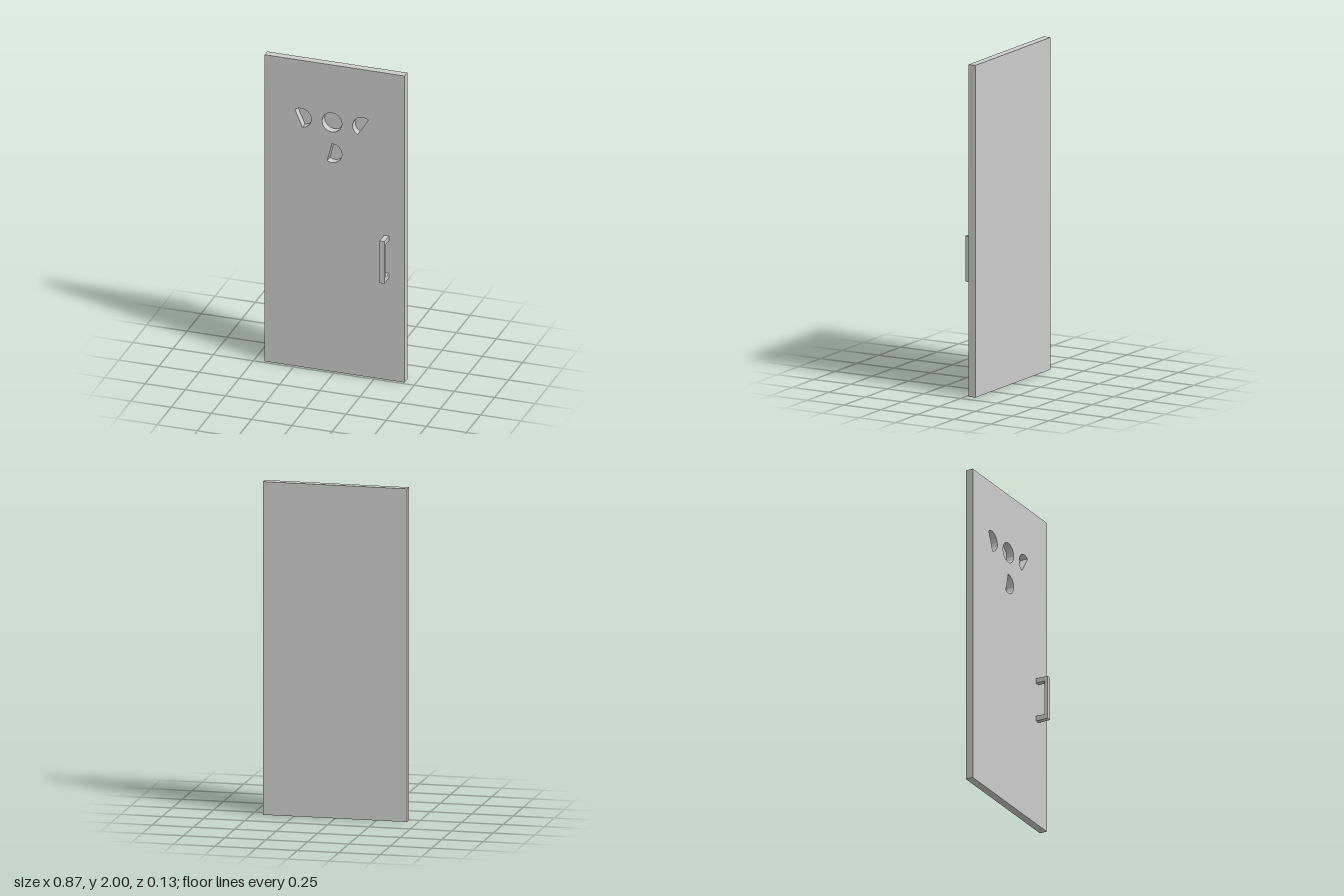
import * as THREE from 'three';

const BACK = -0.063, FRONT = -0.016, TOP = 0.063;
const RADIUS = 0.0625;

// Recess outlines: centre, start angle and sweep in degrees (a cut disc is closed by its chord)
const RECESSES = [
  { name: 'middleRecess', x: -0.017, y: 1.625, start: 0, sweep: 360 },
  { name: 'rightRecess', x: -0.208, y: 1.625, start: -83, sweep: 212 },
  { name: 'leftRecess', x: 0.173, y: 1.625, start: 54, sweep: 186 },
  { name: 'lowerRecess', x: -0.017, y: 1.425, start: -118, sweep: 208 },
];

function recessPoints({ x, y, start, sweep }) {
  const full = sweep === 360;
  const steps = Math.round(sweep / 22.5);
  const points = [];
  for (let i = 0; i < (full ? steps : steps + 1); i++) {
    const a = THREE.MathUtils.degToRad(start + (sweep * i) / steps);
    points.push(new THREE.Vector2(x + RADIUS * Math.cos(a), y + RADIUS * Math.sin(a)));
  }
  return points;
}

function polygon(pairs) {
  return new THREE.Shape(pairs.map(([x, y]) => new THREE.Vector2(x, y)));
}

export function createModel() {
  const group = new THREE.Group();
  const grey = new THREE.MeshStandardMaterial({ color: 0xcccccc, flatShading: true });
  const thin = grey.clone();
  thin.side = THREE.DoubleSide;

  const add = (name, geometry, material = grey) => {
    const mesh = new THREE.Mesh(geometry, material);
    mesh.name = name;
    group.add(mesh);
    return mesh;
  };

  // Door panel with the recesses cut out
  const panel = polygon([[-0.435, 0], [0.435, 0], [0.435, 2], [-0.435, 2]]);
  for (const r of RECESSES) panel.holes.push(new THREE.Path(recessPoints(r)));
  const door = new THREE.ExtrudeGeometry(panel, { depth: FRONT - BACK, bevelEnabled: false });
  add('doorPanel', door.translate(0, 0, BACK));

  // Thin floors close the recesses flush with the back of the door
  for (const r of RECESSES) {
    const floor = new THREE.ShapeGeometry(new THREE.Shape(recessPoints(r)));
    add(r.name + 'Floor', floor.translate(0, 0, BACK), thin);
  }

  // Pull handle: a bracket profile in z and y, extruded across x
  const bracket = polygon([
    [FRONT, 0.665], [TOP, 0.665], [TOP, 0.94], [FRONT, 0.94],
    [FRONT, 0.91], [0.041, 0.91], [0.041, 0.697], [FRONT, 0.697],
  ]);
  const handle = new THREE.ExtrudeGeometry(bracket, { depth: 0.03, bevelEnabled: false });
  add('pullHandle', handle.rotateY(-Math.PI / 2).translate(0.337, 0, 0));

  return group;
}
